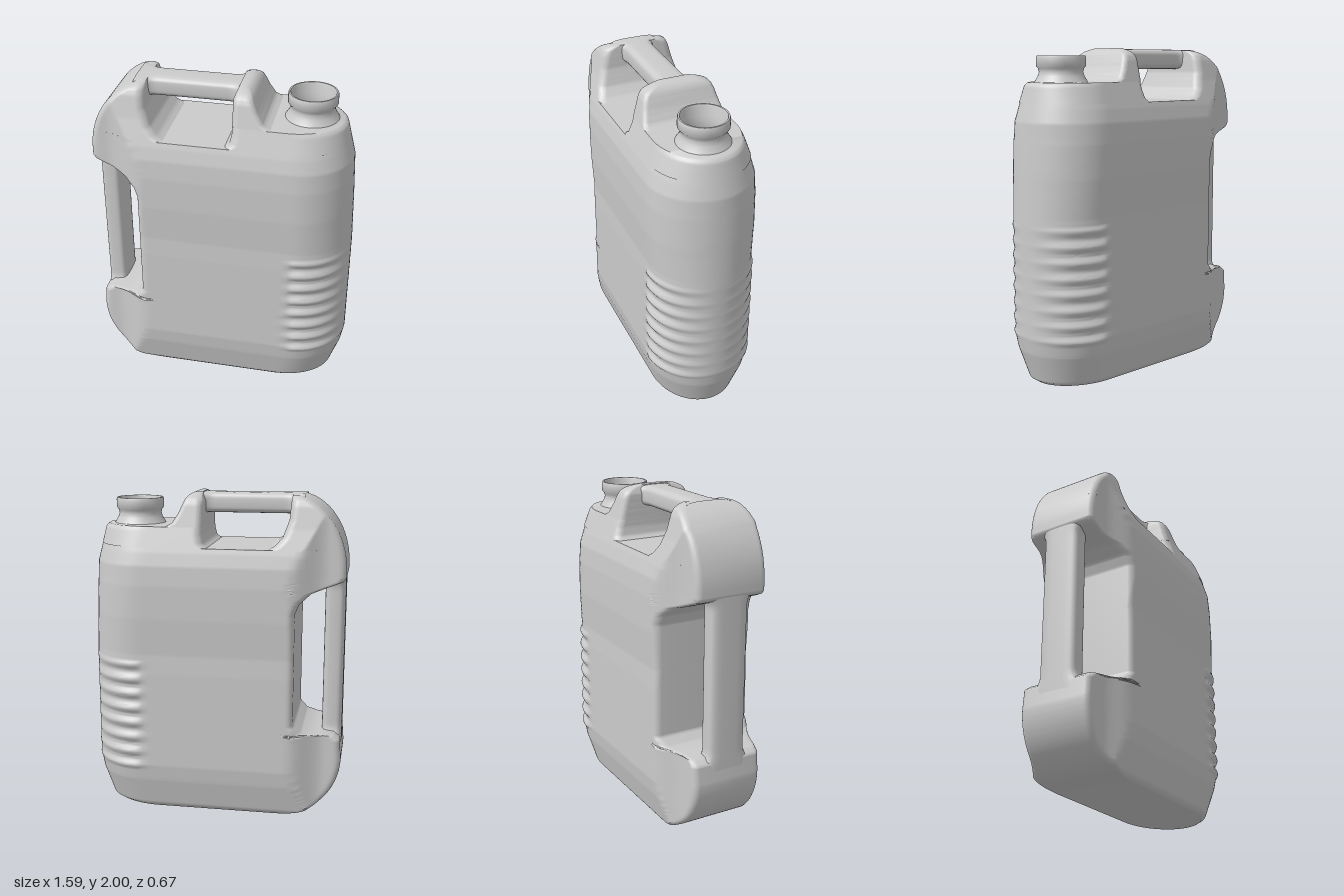
import * as THREE from 'three';
import { toCreasedNormals } from 'three/addons/utils/BufferGeometryUtils.js';

const { clamp, lerp, smoothstep } = THREE.MathUtils;
const material = new THREE.MeshStandardMaterial({ color: 0xcccccc, side: THREE.DoubleSide });

// Piecewise-linear curve through [y, value] points
const curve = (...pts) => (y) => {
  if (y <= pts[0][0]) return pts[0][1];
  for (let i = 1; i < pts.length; i++) {
    const [y0, a] = pts[i - 1], [y1, b] = pts[i];
    if (y <= y1) return lerp(a, b, (y - y0) / (y1 - y0));
  }
  return pts[pts.length - 1][1];
};

// Half depth of the can at each height
const depth = curve([0, 0.245], [0.025, 0.268], [0.2, 0.312], [0.3, 0.326], [0.9, 0.325], [1.02, 0.321],
  [1.25, 0.333], [1.45, 0.333], [1.57, 0.325], [1.65, 0.305], [1.8, 0.255], [1.93, 0.222],
  [1.965, 0.205], [1.985, 0.17], [2, 0.12]);

// Grip ribs around the spout-side end
const rib = (y) => (y < 0.27 || y > 0.98 ? 0 : -0.011 * Math.cos(((y - 0.27) / 0.71) * Math.PI * 2 * 7.5 + Math.PI / 2));

// Half depth at a point: narrower towards the handle end, ribbed at the other
const halfDepth = (x, y) =>
  Math.min(depth(y), lerp(0.23, 0.335, smoothstep(x, -0.7, -0.45))) + rib(y) * smoothstep(x, 0.42, 0.47);

// Spout-side edge
const bodyRight = curve([0, 0.68], [0.02, 0.71], [0.2, 0.77], [0.3, 0.788], [0.98, 0.788],
  [1.3, 0.777], [1.57, 0.765], [1.65, 0.745], [1.78, 0.713], [1.8, 0.69]);

// Handle-side edge: round bottom corner, recess behind the handle, round top corner
const recess = curve([0.38, -0.8], [0.5, -0.79], [0.53, -0.75], [0.55, -0.56], [0.6, -0.505], [1.3, -0.505],
  [1.36, -0.53], [1.42, -0.6], [1.44, -0.66], [1.47, -0.74], [1.49, -0.785], [1.51, -0.8]);
const bodyLeft = (y) => {
  if (y < 0.38) return -0.45 - 0.35 * Math.sqrt(1 - ((0.38 - y) / 0.38) ** 2);
  if (y > 1.55) return -0.43 - 0.37 * Math.sqrt(1 - ((y - 1.55) / 0.45) ** 2);
  return recess(y);
};

// Stack of horizontal sections from y0 to y1 between two edges, with rounded ends
function slab(name, y0, y1, left, right, rLeft, rRight) {
  const n = 48, ring = 2 * (n + 1), rows = Math.ceil((y1 - y0) / 0.01);
  const position = [], index = [];
  for (let j = 0; j <= rows; j++) {
    const y = lerp(y0, y1, j / rows), a = left(y), b = right(y);
    const side = [];
    for (let i = 0; i <= n; i++) {
      const x = lerp(a, b, (1 - Math.cos((Math.PI * i) / n)) / 2);
      const w = halfDepth(x, y);
      const drop = (s, r) => Math.min(r, w) * (1 - Math.sqrt(1 - clamp(1 - s / r, 0, 1) ** 2));
      side.push([x, Math.max(0, w - drop(x - a, rLeft) - drop(b - x, rRight))]);
    }
    for (const [x, z] of side) position.push(x, y, z);
    for (const [x, z] of side.reverse()) position.push(x, y, -z);
  }
  for (let j = 0; j < rows; j++) {
    for (let i = 0; i < ring; i++) {
      const a = j * ring + i, b = j * ring + ((i + 1) % ring);
      index.push(a, b, b + ring, a, b + ring, a + ring);
    }
  }
  // End caps
  const top = rows * ring;
  for (let i = 0; i < n; i++) {
    const a = i, b = i + 1, c = ring - 2 - i, d = ring - 1 - i;
    index.push(top + a, top + b, top + c, top + a, top + c, top + d, a, c, b, a, d, c);
  }
  const geometry = new THREE.BufferGeometry();
  geometry.setAttribute('position', new THREE.Float32BufferAttribute(position, 3));
  geometry.setIndex(index);
  return part(name, toCreasedNormals(geometry, 0.9));
}

function part(name, geometry) {
  const mesh = new THREE.Mesh(geometry, material);
  mesh.name = name;
  return mesh;
}

// Rounded bar along y whose depth flares out at both ends
function grip(name, length, thick, deep, flare) {
  const geometry = new THREE.CylinderGeometry(1, 1, length, 40, 48, true);
  const p = geometry.attributes.position;
  const square = (v) => Math.sign(v) * Math.sqrt(Math.abs(v));
  for (let i = 0; i < p.count; i++) {
    const t = smoothstep(Math.abs(p.getY(i)), length / 2 - 0.14, length / 2);
    p.setX(i, square(p.getX(i)) * thick);
    p.setZ(i, square(p.getZ(i)) * (deep + flare * t * t));
  }
  geometry.computeVertexNormals();
  return part(name, toCreasedNormals(geometry, 0.9));
}

export function createModel() {
  const model = new THREE.Group();
  model.name = 'jerryCan';

  // Main tank up to the floor of the top opening
  model.add(slab('tank', 0, 1.68, bodyLeft, bodyRight, 0.04, 0.33));

  // Rounded shoulder joining the two handles
  const innerEdge = curve([1.68, -0.34], [1.7, -0.375], [1.75, -0.42], [1.85, -0.455], [1.99, -0.465]);
  model.add(slab('handleShoulder', 1.68, 1.99, bodyLeft, innerEdge, 0.04, 0.05));

  // Deck under the spout
  const openingEdge = curve([1.68, 0.03], [1.7, 0.055], [1.75, 0.065], [1.95, 0.065], [2, 0.085]);
  model.add(slab('spoutDeck', 1.68, 1.8, openingEdge, bodyRight, 0.05, 0.3));

  // Post carrying the spout end of the top handle
  const postSlope = curve([1.8, 0.29], [1.82, 0.25], [1.88, 0.213], [1.96, 0.178], [1.985, 0.16], [2, 0.13]);
  model.add(slab('handlePost', 1.8, 2, openingEdge, postSlope, 0.04, 0.03));

  // Top handle
  const topHandle = grip('topHandle', 0.68, 0.062, 0.09, 0.07);
  topHandle.rotation.z = Math.PI / 2;
  topHandle.position.set(-0.2, 1.934, 0);
  model.add(topHandle);

  // Upright handle
  const sideHandle = grip('sideHandle', 1.1, 0.063, 0.12, 0.05);
  sideHandle.position.set(-0.733, 1.0, 0);
  model.add(sideHandle);

  // Open spout: flared foot, waist, collar and inner wall
  const profile = [[0.165, 1.79], [0.153, 1.81], [0.138, 1.835], [0.13, 1.86], [0.135, 1.88], [0.147, 1.895],
    [0.147, 1.945], [0.143, 1.955], [0.134, 1.955], [0.13, 1.945], [0.128, 1.89], [0.118, 1.86], [0.128, 1.802],
    [0, 1.802]].map(([r, y]) => new THREE.Vector2(r, y));
  const spout = part('spout', toCreasedNormals(new THREE.LatheGeometry(profile, 48), 0.9));
  spout.position.x = 0.5;
  model.add(spout);

  return model;
}
